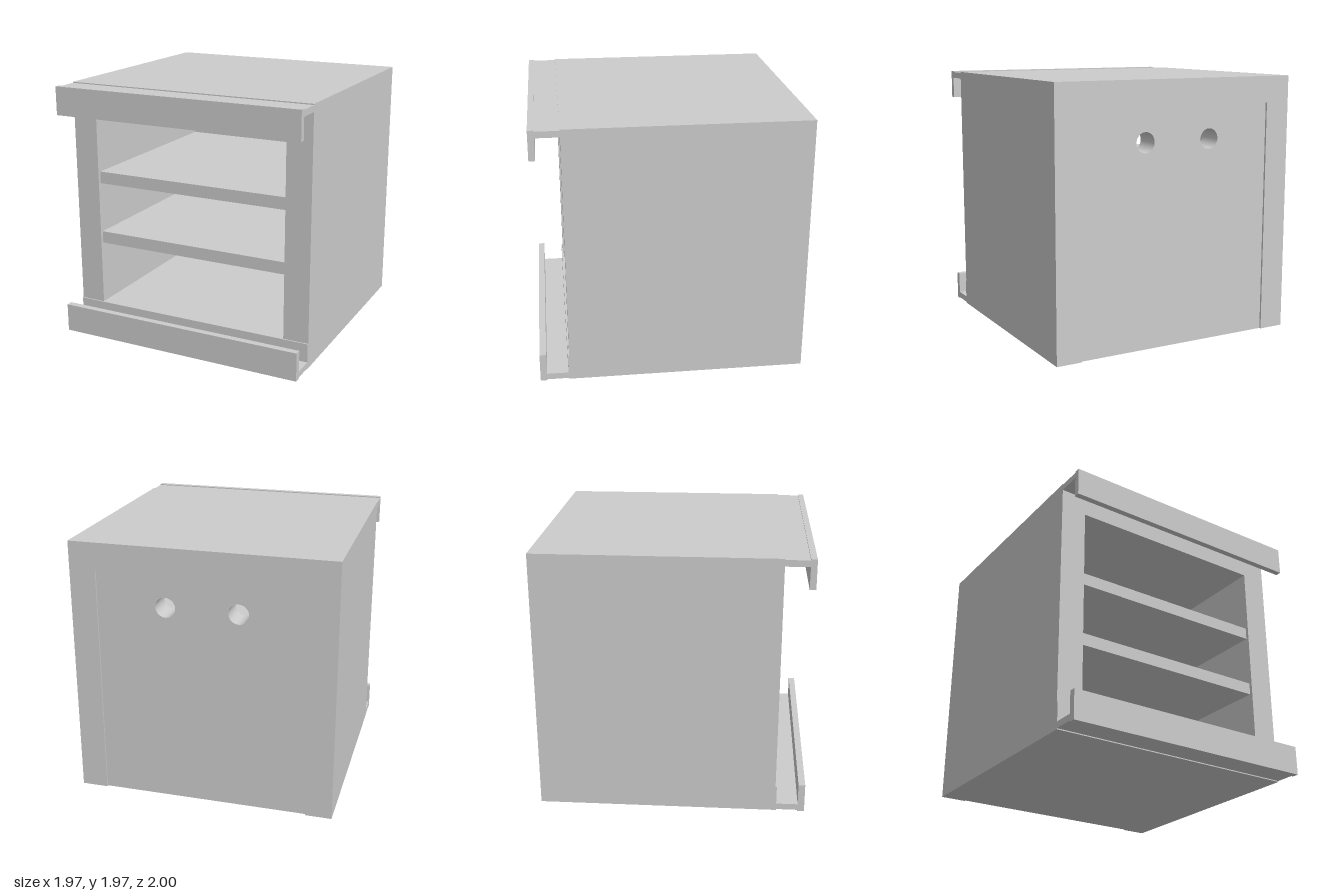
import * as THREE from 'three';

const grey = new THREE.MeshStandardMaterial({ color: 0xcccccc });
grey.name = 'plain grey';

export function createModel() {
  const model = new THREE.Group();
  model.name = 'cabinet';

  // Box given by its extents along each axis
  function box(name, x0, x1, y0, y1, z0, z1) {
    const mesh = new THREE.Mesh(new THREE.BoxGeometry(x1 - x0, y1 - y0, z1 - z0), grey);
    mesh.position.set((x0 + x1) / 2, (y0 + y1) / 2, (z0 + z1) / 2);
    mesh.name = name;
    model.add(mesh);
  }

  const W = 0.985, IN = 0.787, H = 1.97;
  const BACK = -1, FRONT = 0.78, INNER_BACK = -0.79;

  // Carcass: thick side walls, top and base
  box('leftWall', IN, W, 0, H, BACK, FRONT);
  box('rightWall', -W, -IN, 0, H, BACK, FRONT);
  box('topPanel', -IN, IN, 1.77, H, BACK, FRONT);
  box('basePanel', -IN, IN, 0, 0.2, -0.985, FRONT);
  box('baseFrontBoard', -W, W, 0, 0.2, FRONT, 0.79);

  // Two shelves set slightly back from the front edge
  for (const y of [0.695, 1.185]) box('shelf', -IN, IN, y, y + 0.094, INNER_BACK, 0.755);

  // Recessed back panel with two round through-holes
  const shape = new THREE.Shape();
  shape.moveTo(-IN, 0.2).lineTo(IN, 0.2).lineTo(IN, 1.77).lineTo(-IN, 1.77).closePath();
  for (const x of [-0.273, 0.268]) {
    shape.holes.push(new THREE.Path().absarc(x, 1.525, 0.075, 0, Math.PI * 2, true));
  }
  const backGeometry = new THREE.ExtrudeGeometry(shape, {
    depth: INNER_BACK + 0.985, bevelEnabled: false, curveSegments: 32,
  });
  const backPanel = new THREE.Mesh(backGeometry, grey);
  backPanel.position.z = -0.985;
  backPanel.name = 'backPanel';
  model.add(backPanel);

  // Front rails: a thin ledge carrying an upright lip, at top and bottom
  box('topLedge', -W, W, 1.915, 1.962, FRONT, 0.955);
  box('topLip', -W, W, 1.752, H, 0.955, 1);
  box('bottomLedge', -W, W, 0.008, 0.056, 0.79, 0.95);
  box('bottomLip', -W, W, 0, 0.22, 0.95, 1);

  return model;
}
